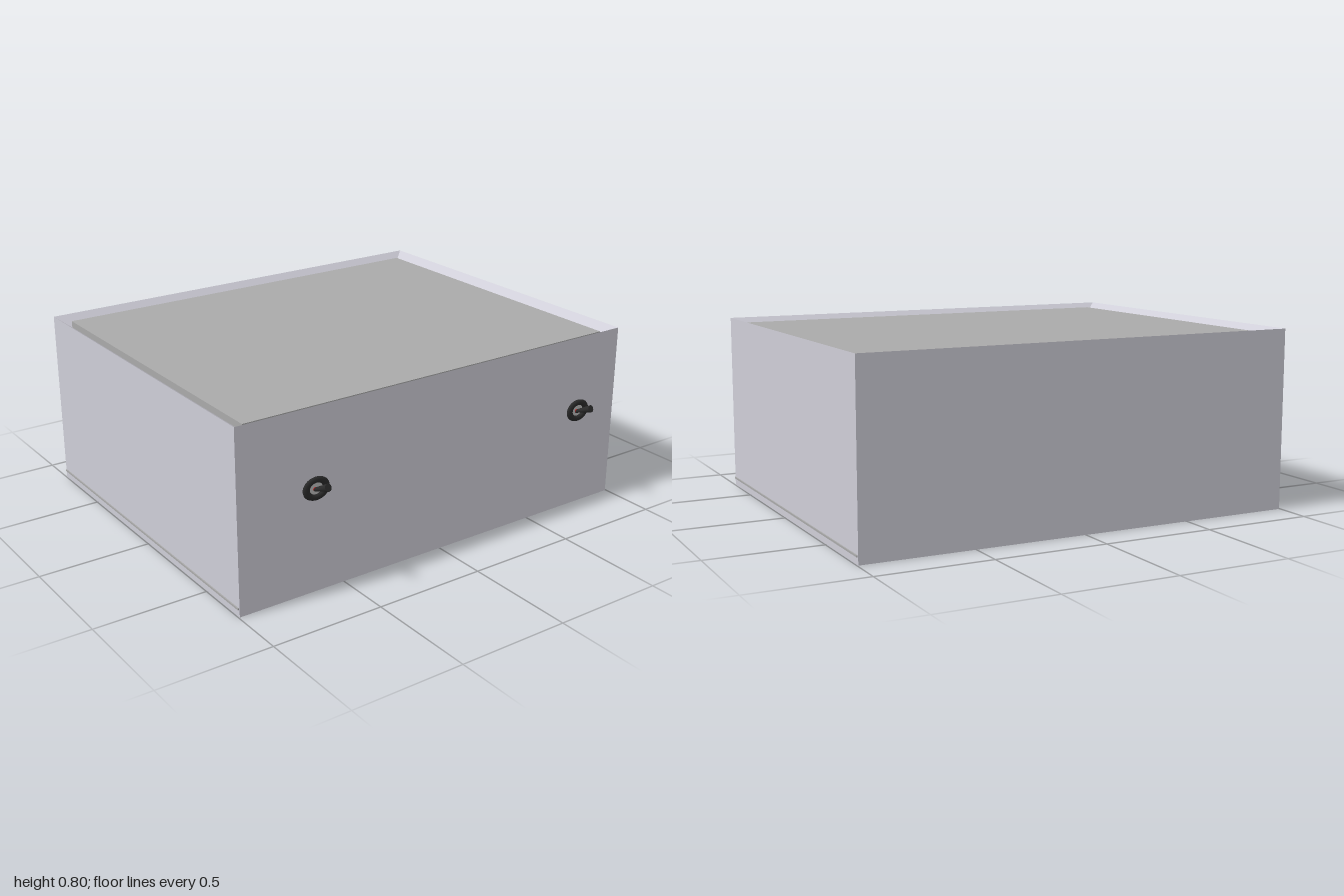
import * as THREE from 'three';

const shellMat = new THREE.MeshStandardMaterial({ color: 0xcfced8 });
const panelMat = new THREE.MeshStandardMaterial({ color: 0xaaaaaa });
const blackMat = new THREE.MeshStandardMaterial({ color: 0x2a2a2a });
const metalMat = new THREE.MeshStandardMaterial({ color: 0xbbbbbb });
const redMat = new THREE.MeshStandardMaterial({ color: 0xb02020 });

const BACK = -0.84, FRONT = 0.75, MID = (BACK + FRONT) / 2;

function add(parent, name, geometry, material, x = 0, y = 0, z = 0) {
  const mesh = new THREE.Mesh(geometry, material);
  mesh.name = name;
  mesh.position.set(x, y, z);
  parent.add(mesh);
  return mesh;
}

// Rectangular casing skinned through rings of [half width, half depth, height]
function casingGeometry(rings) {
  const corner = ([w, d, y], i) => [
    [w, y, MID + d], [w, y, MID - d], [-w, y, MID - d], [-w, y, MID + d],
  ][i % 4];
  const points = [];
  for (let r = 0; r < rings.length - 1; r++) {
    for (let i = 0; i < 4; i++) {
      const a = corner(rings[r], i), b = corner(rings[r], i + 1);
      const c = corner(rings[r + 1], i + 1), d = corner(rings[r + 1], i);
      points.push(...a, ...b, ...c, ...a, ...c, ...d);
    }
  }
  const geometry = new THREE.BufferGeometry();
  geometry.setAttribute('position', new THREE.Float32BufferAttribute(points, 3));
  geometry.computeVertexNormals();
  return geometry;
}

// Toggle switch: oval collar, pale disc, red hub and a flared lever tilted up
function toggleSwitch(name, x) {
  const group = new THREE.Group();
  group.name = name;
  group.position.set(x, 0.46, FRONT);

  const collar = add(group, 'collar', new THREE.TorusGeometry(0.047, 0.016, 12, 40), blackMat, 0, 0, 0.01);
  collar.scale.set(1, 0.8, 0.55);

  const disc = add(group, 'disc', new THREE.CylinderGeometry(0.042, 0.042, 0.006, 32), metalMat, 0, 0, 0.003);
  disc.rotation.x = Math.PI / 2;
  disc.scale.z = 0.8;

  add(group, 'hub', new THREE.SphereGeometry(0.009, 16, 10), redMat, -0.003, -0.003, 0.006);

  const from = new THREE.Vector3(-0.004, -0.006, 0.004), to = new THREE.Vector3(0.006, 0.03, 0.084);
  const axis = to.clone().sub(from);
  const lever = add(group, 'lever', new THREE.CylinderGeometry(0.016, 0.007, axis.length(), 20), blackMat);
  lever.position.copy(from).add(to).multiplyScalar(0.5);
  lever.quaternion.setFromUnitVectors(new THREE.Vector3(0, 1, 0), axis.normalize());
  return group;
}

export function createModel() {
  const model = new THREE.Group();
  model.name = 'instrumentBox';

  // Four walls with rims sloping inward at top and bottom
  const w = 0.995, d = (FRONT - BACK) / 2;
  add(model, 'casing', casingGeometry([
    [0.93, d - 0.05, 0.045], [w, d, 0], [w, d, 0.8], [0.93, d - 0.05, 0.75],
  ]), shellMat);

  // Recessed lid and floor panels
  add(model, 'lid', new THREE.BoxGeometry(1.865, 0.035, 1.49), panelMat, 0.002, 0.7625, MID);
  add(model, 'floor', new THREE.BoxGeometry(1.865, 0.02, 1.49), panelMat, 0, 0.045, MID);

  // Thin seams where the floor meets the side walls
  for (const side of [-1, 1]) {
    add(model, 'sideSeam', new THREE.BoxGeometry(0.01, 0.008, 1.58), panelMat, side * 0.995, 0.035, MID);
  }

  model.add(toggleSwitch('rightSwitch', -0.64), toggleSwitch('leftSwitch', 0.765));
  return model;
}
